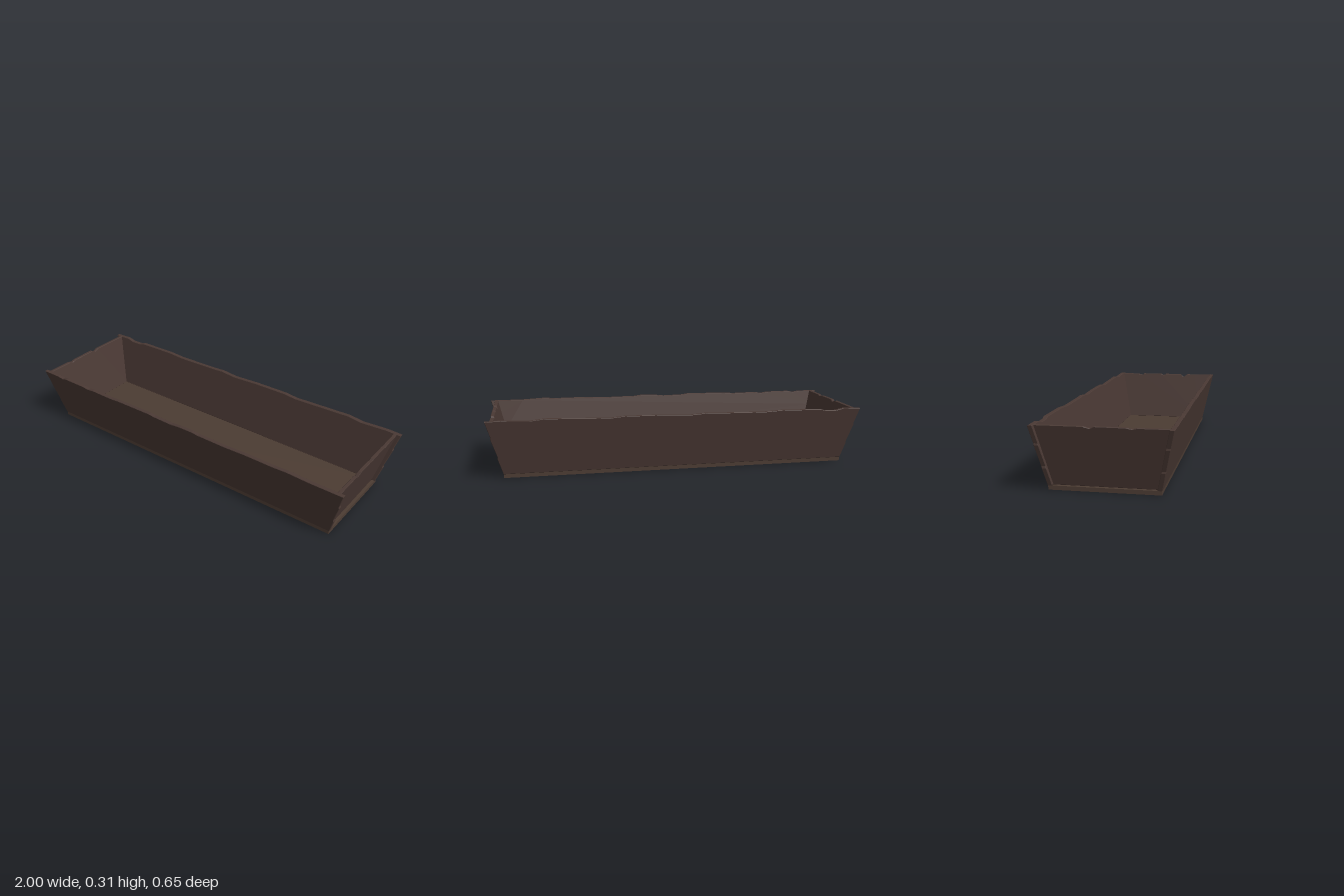
import * as THREE from 'three';

const BASE = 0.02; // height of the floor plank

// One upright board: outline from edges and worn top, extruded, then leaned outward
function board({ bottom, top, height, edge, worn, foot, lean, thick }) {
  const half = (y) => bottom + (top - bottom) * (y - BASE) / (height - BASE);
  const s = new THREE.Shape();
  s.moveTo(-bottom, BASE);
  s.lineTo(bottom, BASE);
  edge.forEach(([y, d]) => s.lineTo(half(y) + d, y));
  s.lineTo(top, height);
  worn.forEach(([u, d]) => s.lineTo(u, height + d));
  s.lineTo(-top, height);
  [...edge].reverse().forEach(([y, d]) => s.lineTo(-half(y) - d, y));
  s.closePath();
  const c = 0.002;
  const g = new THREE.ExtrudeGeometry(s, {
    depth: thick - 2 * c, bevelEnabled: true, bevelSegments: 1,
    bevelSize: c, bevelThickness: c, bevelOffset: -c,
  });
  const p = g.attributes.position;
  for (let i = 0; i < p.count; i++) {
    const t = (p.getY(i) - BASE) / (height - BASE);
    p.setZ(i, p.getZ(i) + c - thick + foot + lean * t);
  }
  g.computeVertexNormals();
  return g;
}

export function createModel() {
  const group = new THREE.Group();
  const wood = new THREE.MeshStandardMaterial({ color: 0x4a3934 });
  wood.name = 'dark wood';
  const floorWood = new THREE.MeshStandardMaterial({ color: 0x4c3c33 });
  floorWood.name = 'floor wood';

  const add = (name, geometry, material, turn = 0) => {
    const m = new THREE.Mesh(geometry, material);
    m.name = name;
    m.rotation.y = turn;
    group.add(m);
  };

  // Floor plank
  add('floor', new THREE.BoxGeometry(1.84, BASE, 0.52).translate(0, BASE / 2, 0), floorWood);

  // Long sides, worn along the top (points run from +u to -u)
  const side = { bottom: 0.922, top: 1, height: 0.308, foot: 0.262, lean: 0.062, thick: 0.022,
    edge: [[0.105, 0.002], [0.115, -0.002], [0.215, 0.002], [0.225, -0.002]] };
  const frontWear = [[0.82, 0], [0.7, 0.006], [0.62, 0.002], [0.45, 0.003], [0.33, -0.002], [0.16, 0],
    [0.12, 0.005], [0.04, 0.004], [-0.02, -0.003], [-0.14, 0], [-0.17, 0.005], [-0.4, 0.003],
    [-0.46, -0.002], [-0.6, 0], [-0.64, -0.006], [-0.68, 0], [-0.82, 0.001], [-0.85, -0.006], [-0.89, 0]];
  const backWear = [[0.9, 0.002], [0.86, -0.008], [0.8, -0.007], [0.77, 0.001], [0.55, 0.004],
    [0.45, -0.002], [0.2, 0.002], [0.14, 0.005], [0.05, -0.003], [-0.1, 0.003], [-0.3, 0.004],
    [-0.37, -0.003], [-0.55, 0.002], [-0.7, 0.006], [-0.78, -0.003], [-0.92, 0.003]];
  add('frontSide', board({ ...side, worn: frontWear }), wood);
  add('backSide', board({ ...side, worn: backWear }), wood, Math.PI);

  // End boards, notched along the top, set between the sides
  const end = { bottom: 0.245, top: 0.306, height: 0.308, foot: 0.904, lean: 0.074, thick: 0.018, edge: [] };
  const leftWear = [[0.2, -0.003], [0.17, -0.01], [0.16, 0], [0.035, 0], [0.025, -0.008], [0.015, -0.007],
    [0.005, 0], [-0.1, 0], [-0.12, -0.018], [-0.145, 0], [-0.2, -0.001]];
  const rightWear = [[0.16, 0], [0.14, -0.006], [0.11, 0], [-0.03, 0.001], [-0.05, -0.009], [-0.08, 0]];
  add('leftEnd', board({ ...end, worn: leftWear }), wood, Math.PI / 2);
  add('rightEnd', board({ ...end, worn: rightWear }), wood, -Math.PI / 2);

  return group;
}
